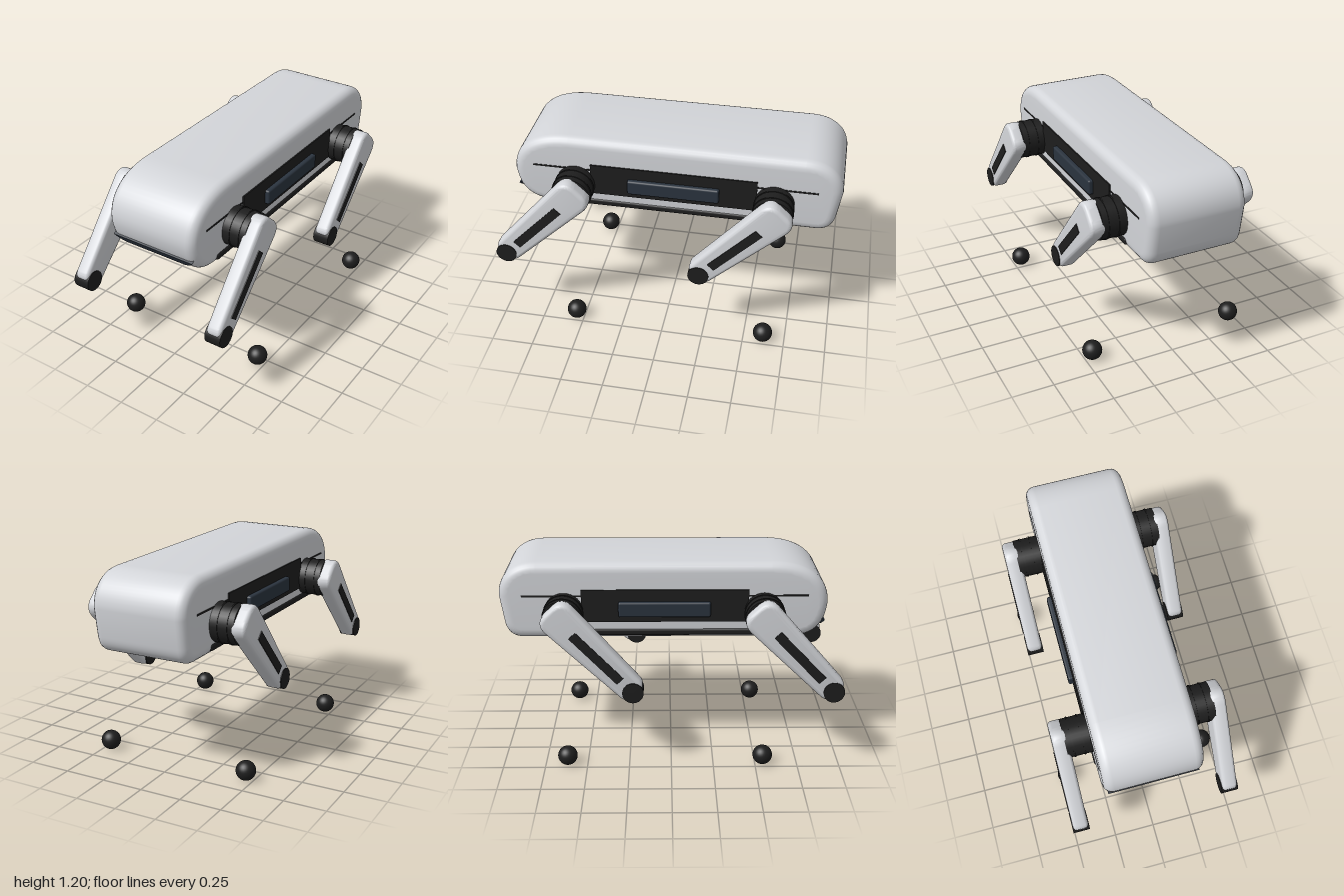
import * as THREE from 'three';
import { toCreasedNormals } from 'three/addons/utils/BufferGeometryUtils.js';
import { RoundedBoxGeometry } from 'three/addons/geometries/RoundedBoxGeometry.js';

const mat = (name, color) => Object.assign(new THREE.MeshStandardMaterial({ color }), { name });

// Extrudes a side profile (shape x = z, shape y = y) across x with rounded edges
function slab(shape, width, bevel) {
  const geo = new THREE.ExtrudeGeometry(shape, {
    depth: width - 2 * bevel, bevelEnabled: true, bevelSize: bevel, bevelThickness: bevel,
    bevelOffset: -bevel, bevelSegments: 5, curveSegments: 14,
  });
  geo.translate(0, 0, bevel - width / 2);
  geo.rotateY(-Math.PI / 2);
  return toCreasedNormals(geo, 0.6);
}

function bodyShape() {
  const s = new THREE.Shape();
  s.moveTo(0.58, 1.2);
  s.lineTo(-0.78, 1.2);
  s.bezierCurveTo(-0.91, 1.2, -1.0, 1.12, -1.0, 1.0);
  s.lineTo(-0.975, 0.84);
  s.quadraticCurveTo(-0.96, 0.74, -0.86, 0.74);
  s.lineTo(0.68, 0.74);
  s.bezierCurveTo(0.83, 0.74, 0.9, 0.8, 0.915, 0.95);
  s.bezierCurveTo(0.915, 1.11, 0.78, 1.2, 0.58, 1.2);
  return s;
}

// Tapered thigh outline, hip at the origin and knee along +x
function thighShape() {
  const s = new THREE.Shape();
  s.moveTo(-0.02, 0.108);
  s.quadraticCurveTo(-0.1, 0.105, -0.1, 0.03);
  s.lineTo(-0.1, -0.03);
  s.quadraticCurveTo(-0.1, -0.105, -0.02, -0.105);
  s.lineTo(0.55, -0.078);
  s.quadraticCurveTo(0.605, -0.075, 0.605, -0.03);
  s.lineTo(0.605, 0.03);
  s.quadraticCurveTo(0.605, 0.08, 0.55, 0.082);
  s.closePath();
  return s;
}

// Smile-shaped sensor window
function visorShape() {
  const s = new THREE.Shape();
  s.moveTo(-0.268, 0.027);
  s.quadraticCurveTo(-0.235, -0.026, -0.18, -0.026);
  s.lineTo(0.18, -0.026);
  s.quadraticCurveTo(0.235, -0.026, 0.268, 0.027);
  s.closePath();
  return s;
}

export function createModel() {
  const model = new THREE.Group();
  model.name = 'robotDog';
  const shell = mat('lightGreyShell', 0xd3d5d9);
  const black = mat('black', 0x1e1e1e);
  const slate = mat('slateBlue', 0x2b343f);

  const add = (parent, name, geo, material, x = 0, y = 0, z = 0) => {
    const m = new THREE.Mesh(geo, material);
    m.name = name;
    m.position.set(x, y, z);
    parent.add(m);
    return m;
  };
  const drum = (r, len) => new THREE.CylinderGeometry(r, r, len, 32).rotateZ(Math.PI / 2);

  add(model, 'body', slab(bodyShape(), 0.58, 0.055), shell);

  // Front sensor window, following the slope of the nose
  const visorGeo = new THREE.ExtrudeGeometry(visorShape(), { depth: 0.055, bevelEnabled: false });
  visorGeo.translate(0, 0, -0.05);
  add(model, 'visor', visorGeo, slate, 0, 0.825, 0.882).rotation.x = 0.55;

  const thighGeo = slab(thighShape(), 0.092, 0.024);
  const kneeGeo = drum(0.062, 0.1);
  const stripeGeo = new THREE.BoxGeometry(0.012, 0.054, 0.39);
  const footGeo = new THREE.SphereGeometry(0.058, 32, 20);

  for (const side of [1, -1]) {
    const label = side > 0 ? 'left' : 'right';

    // Flank details
    add(model, label + 'SidePanel', new THREE.BoxGeometry(0.03, 0.195, 0.97), black, side * 0.283, 0.947, -0.035);
    add(model, label + 'SideScreen', new RoundedBoxGeometry(0.05, 0.09, 0.535, 3, 0.012), slate, side * 0.3, 0.93, -0.038);
    add(model, label + 'SeamLine', new THREE.BoxGeometry(0.01, 0.01, 1.66), black, side * 0.288, 1.006, -0.035);
    add(model, label + 'LowerRail', new RoundedBoxGeometry(0.04, 0.042, 1.42, 3, 0.015), black, side * 0.277, 0.783, -0.005);

    for (const [end, z] of [['Front', 0.54], ['Rear', -0.622]]) {
      const leg = new THREE.Group();
      leg.name = label + end + 'Leg';
      leg.position.set(side * 0.459, 0.91, z);
      model.add(leg);

      // Hip motor with raised bands
      add(leg, 'hipMotor', drum(0.114, 0.15), black, side * -0.099);
      for (const x of [-0.125, -0.065]) add(leg, 'hipBand', drum(0.118, 0.008), black, side * x);

      // Thigh, swung forward and down
      const thigh = new THREE.Group();
      thigh.name = 'thighAssembly';
      thigh.rotation.x = 0.812;
      leg.add(thigh);
      add(thigh, 'thigh', thighGeo, shell);
      add(thigh, 'thighStripe', stripeGeo, black, side * 0.044, 0, 0.283);
      add(thigh, 'knee', kneeGeo, black, 0, 0, 0.581);

      add(model, label + end + 'Foot', footGeo, black, side * 0.456, 0.058, z + 0.004);
    }
  }
  return model;
}
